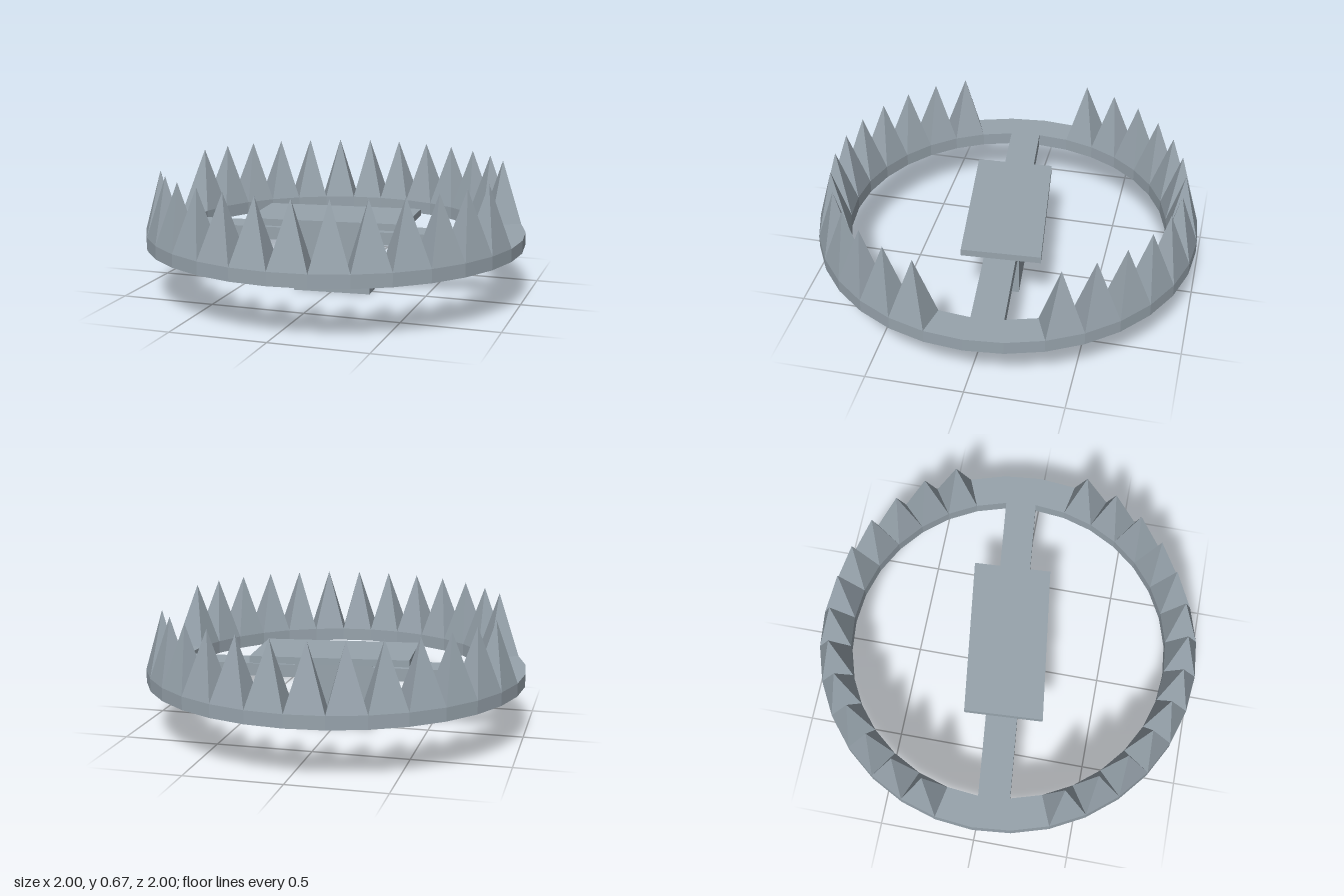
import * as THREE from 'three';

const SEG = 32, R_OUT = 1, R_IN = 0.835;
const RING_Y = 0.27, RING_TOP = 0.338, TIP_Y = 0.67;

const material = new THREE.MeshStandardMaterial({ color: 0x97a3ac });

// Ring corner k in plan view: [x, z]
const corner = (r, k) => {
  const a = (k / SEG) * Math.PI * 2;
  return [r * Math.cos(a), r * Math.sin(a)];
};

// Upright prism from plan outline [x, z]; an optional hole runs the opposite way round
function prism(name, outline, y0, y1, hole) {
  const toVec = ([x, z]) => new THREE.Vector2(x, -z);
  const shape = new THREE.Shape(outline.map(toVec));
  if (hole) shape.holes.push(new THREE.Path(hole.map(toVec).reverse()));
  const geo = new THREE.ExtrudeGeometry(shape, { depth: y1 - y0, bevelEnabled: false });
  geo.rotateX(-Math.PI / 2).translate(0, y0, 0);
  const mesh = new THREE.Mesh(geo, material);
  mesh.name = name;
  return mesh;
}

// Outline with half-turn symmetry from its two right-hand corners
const halfTurn = (a, b) => [a, b, [-a[0], -a[1]], [-b[0], -b[1]]];

// Four-sided tooth standing on ring segment k
function tooth(k) {
  const base = [corner(R_OUT, k), corner(R_OUT, k + 1), corner(R_IN, k + 1), corner(R_IN, k)];
  const cx = base.reduce((s, p) => s + p[0], 0) / 4;
  const cz = base.reduce((s, p) => s + p[1], 0) / 4;
  const pos = [];
  base.forEach((p, i) => {
    const q = base[(i + 1) % 4];
    pos.push(q[0], RING_TOP, q[1], p[0], RING_TOP, p[1], cx, TIP_Y, cz);
  });
  const geo = new THREE.BufferGeometry();
  geo.setAttribute('position', new THREE.Float32BufferAttribute(pos, 3));
  geo.computeVertexNormals();
  const mesh = new THREE.Mesh(geo, material);
  mesh.name = 'tooth';
  return mesh;
}

export function createModel() {
  const model = new THREE.Group();
  model.name = 'jawTrap';

  // Faceted base ring
  const loop = (r) => Array.from({ length: SEG }, (_, k) => corner(r, k));
  model.add(prism('ring', loop(R_OUT), RING_Y, RING_TOP, loop(R_IN)));

  // Two jaws of 13 teeth, leaving three bare segments at each end
  for (const [name, start] of [['frontTeeth', 1], ['backTeeth', 17]]) {
    const jaw = new THREE.Group();
    jaw.name = name;
    for (let i = 0; i < 13; i++) jaw.add(tooth(start + i));
    model.add(jaw);
  }

  // Slanted bar spanning one ring segment to the opposite one
  model.add(prism('crossBar', halfTurn(corner(R_IN, 0), corner(R_IN, -1)), RING_Y, RING_TOP));

  // Central block below, carrying the pressure plate
  model.add(prism('centreBlock', halfTurn([0.21, 0.063], [0.2, -0.102]), 0, 0.375));
  model.add(prism('pressurePlate', halfTurn([0.423, 0.152], [0.4, -0.256]), 0.375, 0.411));

  return model;
}
